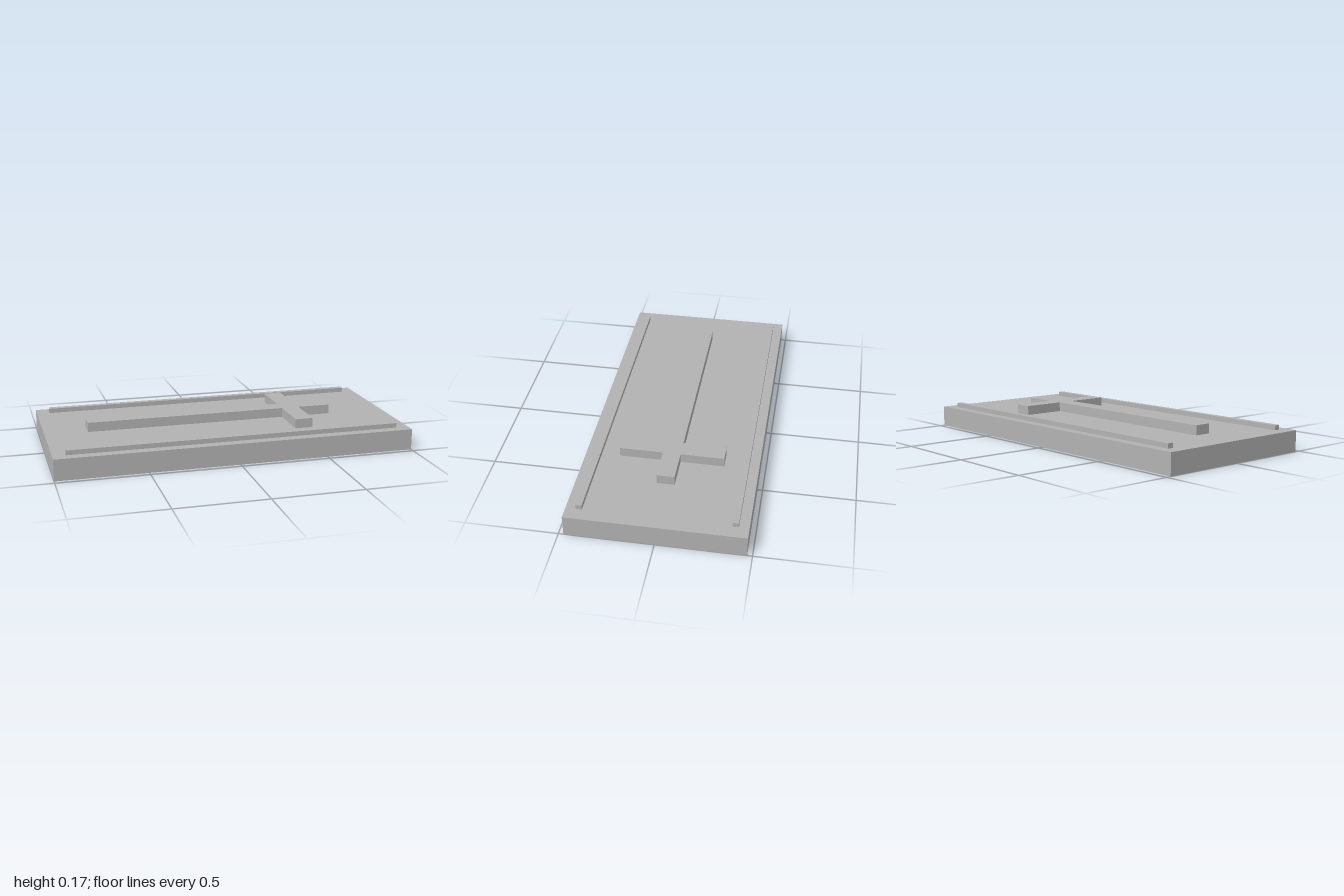
import * as THREE from 'three';

const BASE_TOP = 0.118;

// Box resting on y0, without its underside
function openBox(name, material, width, height, depth, x, y0, z) {
  const geometry = new THREE.BoxGeometry(width, height, depth);
  const index = Array.from(geometry.index.array);
  index.splice(18, 6); // drop the -y face
  geometry.setIndex(index);
  geometry.clearGroups();
  const mesh = new THREE.Mesh(geometry, material);
  mesh.name = name;
  mesh.position.set(x, y0 + height / 2, z);
  return mesh;
}

export function createModel() {
  const model = new THREE.Group();
  model.name = 'slabWithCross';
  const stone = new THREE.MeshStandardMaterial({ color: 0xb2b2b2, side: THREE.DoubleSide });
  stone.name = 'stone grey';

  // Hollow slab, open underneath
  model.add(openBox('slab', stone, 2, BASE_TOP, 0.946, 0, 0, 0));

  // Thin rails along both long edges
  for (const [name, side] of [['frontRail', 1], ['backRail', -1]]) {
    model.add(openBox(name, stone, 1.855, 0.026, 0.033, 0, BASE_TOP, side * 0.403));
  }

  // Raised cross, drawn in x and z and extruded upward
  const foot = -0.76, head = 0.664, armStart = 0.375, armEnd = 0.475;
  const half = 0.048, reach = 0.285;
  const edge = [[foot, half], [armStart, half], [armStart, reach], [armEnd, reach], [armEnd, half], [head, half]];
  const mirrored = edge.map(([x, z]) => [x, -z]).reverse();
  const outline = new THREE.Shape([...edge, ...mirrored].map(([x, z]) => new THREE.Vector2(x, z)));
  const crossGeometry = new THREE.ExtrudeGeometry(outline, { depth: 0.053, bevelEnabled: false });
  crossGeometry.rotateX(-Math.PI / 2);
  const cross = new THREE.Mesh(crossGeometry, stone);
  cross.name = 'cross';
  cross.position.y = BASE_TOP;
  model.add(cross);

  return model;
}
